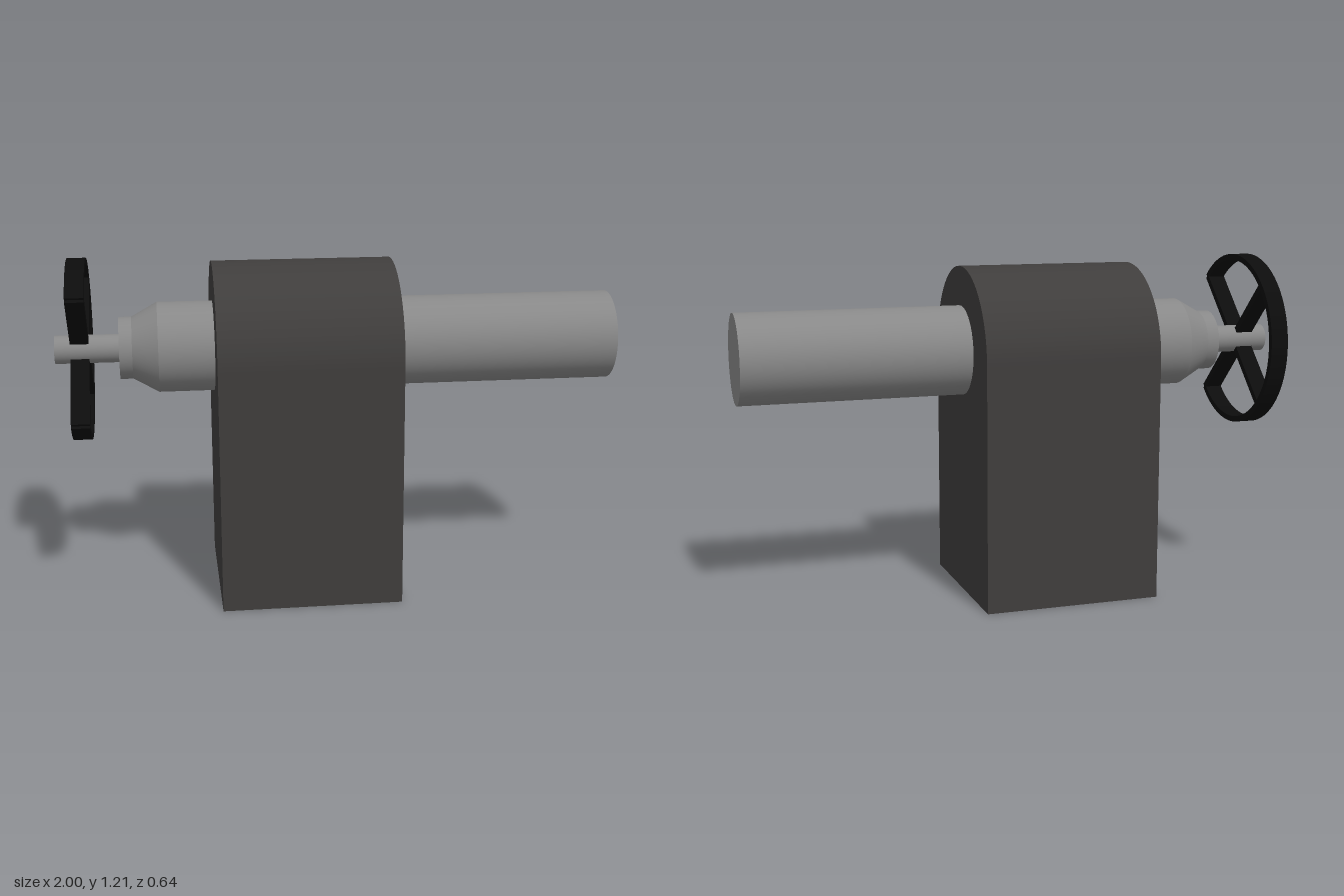
import * as THREE from 'three';

const AXIS_Y = 0.89; // height of the spindle axis

export function createModel() {
  const group = new THREE.Group();
  const castIron = new THREE.MeshStandardMaterial({ color: 0x3f3d3c });
  const steel = new THREE.MeshStandardMaterial({ color: 0x888888 });
  const black = new THREE.MeshStandardMaterial({ color: 0x0c0c0c });

  const add = (name, geometry, material, parent = group) => {
    const mesh = new THREE.Mesh(geometry, material);
    mesh.name = name;
    parent.add(mesh);
    return mesh;
  };

  // Extrudes a (z, y) outline along x, from x0 to x1
  const extrudeX = (shape, x0, x1) =>
    new THREE.ExtrudeGeometry(shape, { depth: x1 - x0, bevelEnabled: false, curveSegments: 32 })
      .rotateY(Math.PI / 2)
      .translate(x0, 0, 0);

  // Cylinder or cone lying along x; r0 at x0, r1 at x1
  const rod = (name, x0, x1, r0, r1 = r0) =>
    add(name, new THREE.CylinderGeometry(r1, r0, x1 - x0, 48)
      .rotateZ(-Math.PI / 2)
      .translate((x0 + x1) / 2, AXIS_Y, 0), steel);

  // Body with a round top
  const arch = new THREE.Shape();
  arch.moveTo(-0.32, 0);
  arch.lineTo(0.32, 0);
  arch.lineTo(0.32, 0.87);
  arch.absarc(0, 0.87, 0.32, 0, Math.PI, false);
  arch.lineTo(-0.32, 0);
  add('body', extrudeX(arch, -0.445, 0.195), castIron);

  // Barrel, stepped rear bearing and spindle
  rod('barrel', 0.1, 1, 0.16);
  rod('rearHousing', -0.64, -0.4, 0.16);
  rod('rearTaper', -0.73, -0.64, 0.11, 0.16);
  rod('rearCollar', -0.775, -0.73, 0.11);
  rod('spindle', -1, -0.7, 0.05);

  // Handwheel: three quarters of a rim, open to the front, with four spokes
  const wheel = new THREE.Group();
  wheel.name = 'handwheel';
  wheel.position.set(-0.9125, AXIS_Y, 0);
  group.add(wheel);

  // Shape x becomes -z, so the gap is centred on shape angle PI
  const rim = new THREE.Shape();
  rim.absarc(0, 0, 0.32, -Math.PI * 0.75, Math.PI * 0.75, false);
  rim.absarc(0, 0, 0.299, Math.PI * 0.75, -Math.PI * 0.75, true);
  rim.closePath();
  add('rim', extrudeX(rim, -0.0325, 0.0325), black, wheel);

  for (let i = 0; i < 4; i++) {
    const spoke = new THREE.BoxGeometry(0.065, 0.28, 0.022)
      .translate(0, 0.17, 0)
      .rotateX(Math.PI / 4 + i * Math.PI / 2);
    add('spoke', spoke, black, wheel);
  }
  return group;
}
